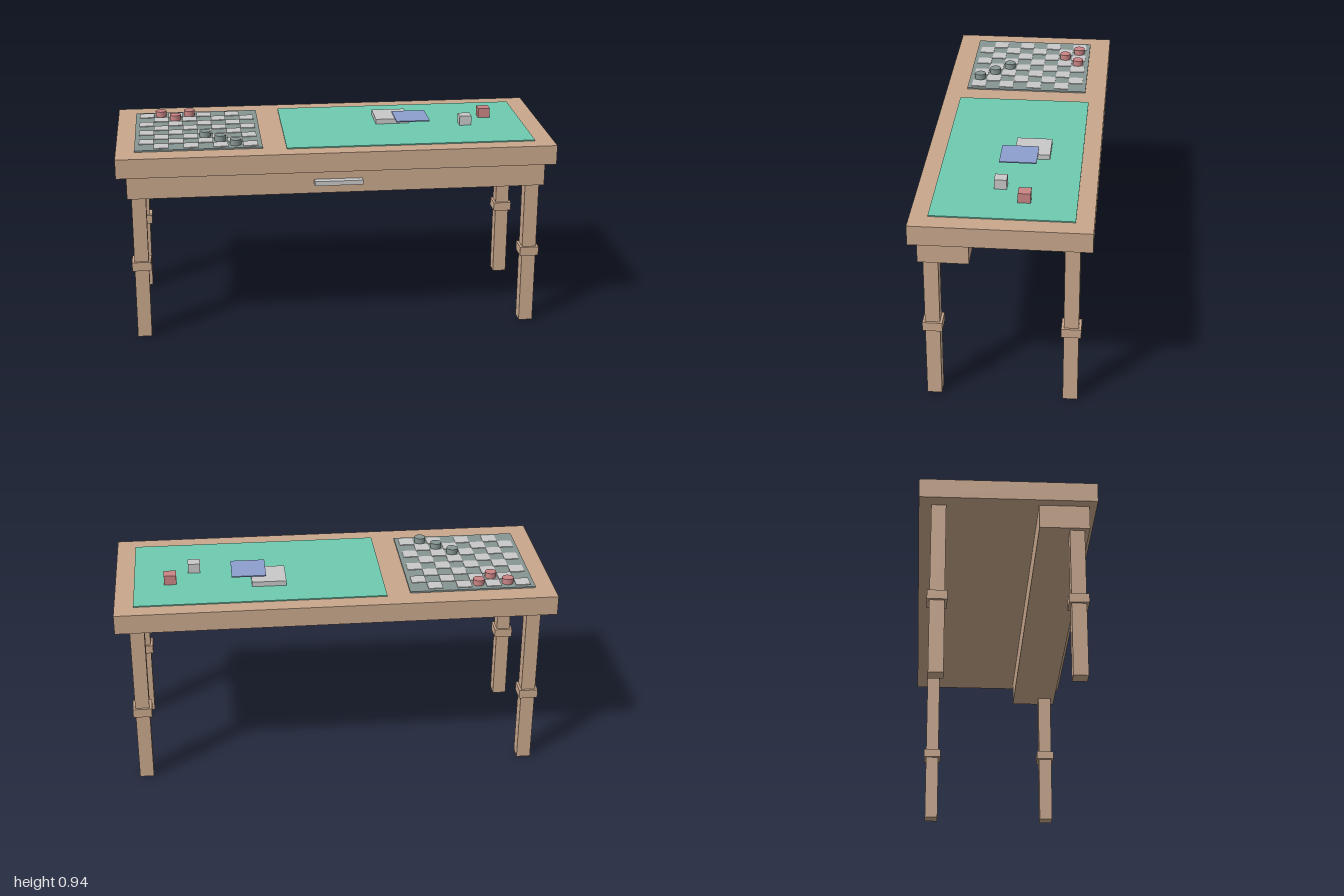
import * as THREE from 'three';

const mat = (name, color) => {
  const m = new THREE.MeshStandardMaterial({ color });
  m.name = name;
  return m;
};

export function createModel() {
  const wood = mat('wood', 0xc8a78c);
  const felt = mat('green felt', 0x6dcab0);
  const pale = mat('pale grey', 0xc8c8c8);
  const slate = mat('slate grey', 0x879693);
  const red = mat('soft red', 0xca8484);
  const blue = mat('soft blue', 0x8d9fcf);

  const table = new THREE.Group();
  table.name = 'gameTable';

  // Box given by its limits on each axis
  const box = (name, material, [x0, x1], [y0, y1], [z0, z1], parent = table) => {
    const mesh = new THREE.Mesh(new THREE.BoxGeometry(x1 - x0, y1 - y0, z1 - z0), material);
    mesh.position.set((x0 + x1) / 2, (y0 + y1) / 2, (z0 + z1) / 2);
    mesh.name = name;
    parent.add(mesh);
    return mesh;
  };
  const around = (c, half) => [c - half, c + half];

  // Top, drawer and handle
  box('tableTop', wood, [-1, 1], [0.8, 0.89], [-0.388, 0.388]);
  box('drawer', wood, [-0.955, 0.955], [0.69, 0.8], [0.135, 0.355]);
  box('drawerHandle', pale, [-0.11, 0.11], [0.735, 0.756], [0.355, 0.388]);

  // Four legs with collars; the front pair stops under the drawer
  for (const sx of [-1, 1]) {
    for (const sz of [-1, 1]) {
      const leg = new THREE.Group();
      leg.name = (sz > 0 ? 'front' : 'back') + (sx > 0 ? 'LeftLeg' : 'RightLeg');
      const x = sx * 0.904, z = sz * 0.301;
      box('legPost', wood, around(x, 0.0325), [0, sz > 0 ? 0.69 : 0.8], around(z, 0.0325), leg);
      box('legCollar', wood, around(x, 0.0435), [0.335, 0.377], around(z, 0.0435), leg);
      table.add(leg);
    }
  }

  // Checkered board with raised pale squares
  const board = new THREE.Group();
  board.name = 'checkerBoard';
  table.add(board);
  box('boardBase', slate, [-0.915, -0.337], [0.89, 0.897], [-0.289, 0.289], board);
  const cell = 0.0675;
  const cellX = (c) => -0.626 + (c - 3.5) * cell;
  const cellZ = (r) => (r - 3.5) * cell;
  for (let r = 0; r < 8; r++) {
    for (let c = r % 2; c < 8; c += 2) {
      box('paleSquare', pale, around(cellX(c), cell / 2), [0.896, 0.9], around(cellZ(r), cell / 2), board);
    }
  }

  // Playing pieces, placed by column and row
  const pieceGeometry = new THREE.CylinderGeometry(0.026, 0.026, 0.026, 20);
  const pieces = [
    ['redPiece', red, [[1, 0], [3, 0], [2, 1]]],
    ['slatePiece', slate, [[4, 5], [5, 6], [6, 7]]],
  ];
  for (const [name, material, cells] of pieces) {
    for (const [c, r] of cells) {
      const piece = new THREE.Mesh(pieceGeometry, material);
      piece.position.set(cellX(c), 0.91, cellZ(r));
      piece.name = name;
      board.add(piece);
    }
  }

  // Felt with cards and dice
  box('feltMat', felt, [-0.229, 0.914], [0.89, 0.895], [-0.31, 0.31]);
  box('cardDeck', pale, [0.218, 0.376], [0.895, 0.918], [-0.166, -0.006]);
  box('topCard', blue, [0.308, 0.466], [0.919, 0.924], [-0.112, 0.054]);
  box('paleDie', pale, [0.609, 0.665], [0.895, 0.94], [0.001, 0.056]);
  box('redDie', red, [0.72, 0.776], [0.895, 0.94], [-0.111, -0.056]);

  return table;
}
